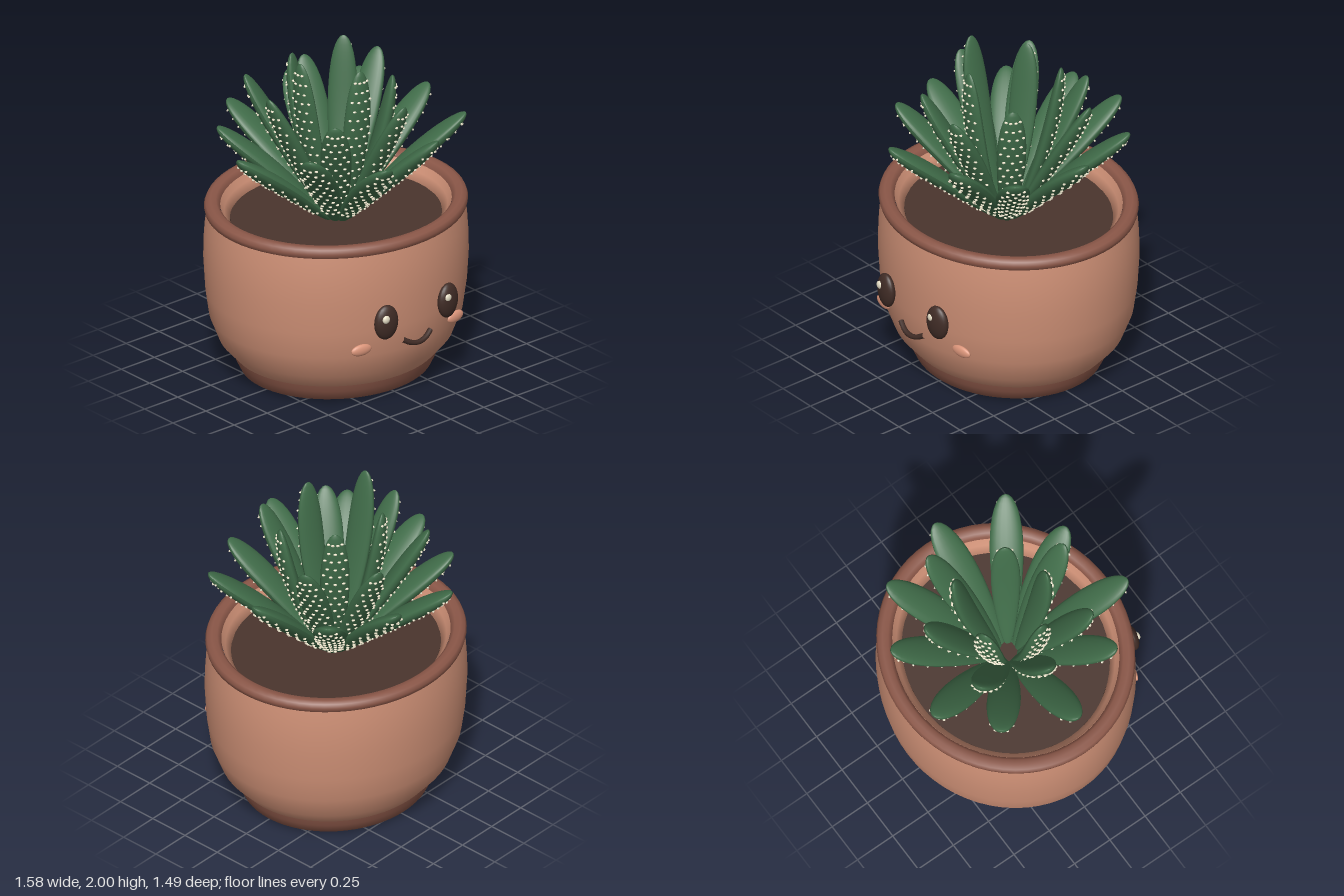
import * as THREE from 'three';
import { mergeGeometries } from 'three/addons/utils/BufferGeometryUtils.js';

const mat = (name, color) => {
  const m = new THREE.MeshStandardMaterial({ color });
  m.name = name;
  return m;
};

// Leaf rings from outside to inside; arch > 0 droops the tip, arch < 0 curls it up
const RINGS = [
  { width: 0.103, arch: 0.022, tips: [[-0.24, 1.51, -0.70], [0.21, 1.57, -0.68],
    [0.56, 1.56, -0.46], [0.70, 1.57, -0.02], [0.61, 1.56, 0.42], [0.25, 1.54, 0.59],
    [-0.22, 1.53, 0.69], [-0.54, 1.57, 0.38], [-0.73, 1.49, -0.03], [-0.54, 1.51, -0.44]] },
  { width: 0.095, arch: 0.005, tips: [[0.15, 1.75, -0.48], [0.49, 1.79, -0.22],
    [0.10, 1.76, 0.47], [-0.33, 1.72, 0.36], [-0.48, 1.80, -0.05], [-0.33, 1.78, -0.44]] },
  { width: 0.09, arch: -0.035, tips: [[0.27, 1.81, 0.17], [-0.13, 1.92, -0.26],
    [0.23, 1.94, -0.22], [-0.04, 1.95, 0.24], [-0.30, 2.00, 0.02]] },
];

// Maps a unit-sphere point onto a plump tapered leaf with a flatter upper face
function leafPoint(v, { width, arch }, length) {
  const t = (v.y + 1) / 2;
  const taper = 0.6 + 0.6 * t;
  const thick = (v.z < 0 ? 0.6 : 0.36) * width;
  return v.set(v.x * width * taper, t * length,
    v.z * thick * taper + arch * Math.sin(Math.PI * t));
}

function leafFrame(x, y, z) {
  const tip = new THREE.Vector3(x, y, z);
  const base = new THREE.Vector3(x, 0, z).setLength(0.045).setY(0.92);
  const d = tip.clone().sub(base);
  const length = d.length();
  d.normalize();
  const s = new THREE.Vector3().crossVectors(d, new THREE.Vector3(0, 1, 0)).normalize();
  const n = new THREE.Vector3().crossVectors(s, d);
  return { length, matrix: new THREE.Matrix4().makeBasis(s, d, n).setPosition(base) };
}

function leafGeometry(ring, length) {
  const g = new THREE.SphereGeometry(1, 20, 20);
  const p = g.attributes.position;
  const v = new THREE.Vector3();
  for (let i = 0; i < p.count; i++) {
    leafPoint(v.fromBufferAttribute(p, i), ring, length);
    p.setXYZ(i, v.x, v.y, v.z);
  }
  g.computeVertexNormals();
  return g;
}

// Staggered rows of small bumps over the underside of a leaf
function spotGeometries(ring, length) {
  const list = [];
  const rows = Math.round(length / 0.058);
  for (let r = 3; r < rows; r++) {
    const y = (r / rows) * 2 - 1;
    const radius = Math.sqrt(1 - y * y);
    const count = r % 2 ? 4 : 3;
    for (let k = 0; k < count; k++) {
      const a = (k - (count - 1) / 2) * 0.62;
      const v = new THREE.Vector3(Math.sin(a) * radius, y, -Math.cos(a) * radius);
      leafPoint(v, ring, length);
      list.push(new THREE.IcosahedronGeometry(1, 0).scale(0.012, 0.007, 0.009)
        .translate(v.x, v.y, v.z - 0.002));
    }
  }
  return list;
}

export function createModel() {
  const model = new THREE.Group();
  model.name = 'pottedSucculent';

  const clay = mat('clay', 0xcd8f75);
  const darkClay = mat('darkClay', 0x8b5748);
  const soilMat = mat('soil', 0x4a352d);
  const leafMat = mat('leafGreen', 0x406c49);
  const spotMat = mat('paleSpot', 0xe6dec6);
  const faceMat = mat('faceBrown', 0x402c26);
  const cheekMat = mat('cheekPink', 0xdb957a);

  const add = (parent, name, geometry, material, pos = [0, 0, 0]) => {
    const m = new THREE.Mesh(geometry, material);
    m.name = name;
    m.position.set(...pos);
    parent.add(m);
    return m;
  };
  const lathe = (pts) => new THREE.LatheGeometry(pts.map(([x, y]) => new THREE.Vector2(x, y)), 64);

  // Pot: slightly oval, made of turned profiles
  const pot = new THREE.Group();
  pot.name = 'pot';
  pot.scale.z = 0.92;
  pot.position.z = -0.018;
  model.add(pot);

  add(pot, 'potWall', lathe([[0.615, 0.12], [0.7, 0.215], [0.757, 0.36], [0.78, 0.52],
    [0.791, 0.7], [0.789, 0.82], [0.782, 0.92], [0.77, 1.0]]), clay);
  add(pot, 'potInside', lathe([[0.69, 1.03], [0.665, 0.99], [0.632, 0.945], [0.67, 0.7],
    [0.65, 0.4], [0.55, 0.16], [0.16, 0.1]]), clay);
  add(pot, 'potBase', lathe([[0.16, 0.1], [0.163, 0.06], [0.178, 0.03], [0.21, 0.014],
    [0.32, 0.008], [0.5, 0], [0.572, 0.02], [0.602, 0.08], [0.615, 0.12]]), darkClay);
  add(pot, 'potRim', lathe([[0.765, 0.996], [0.781, 1.004], [0.787, 1.03], [0.777, 1.054],
    [0.75, 1.065], [0.715, 1.06], [0.696, 1.045], [0.688, 1.015]]), darkClay);
  add(pot, 'soil', new THREE.CylinderGeometry(0.642, 0.642, 0.02, 16), soilMat, [0, 0.935, 0]);

  // Face: eyes, highlights and cheeks mirrored, with a smile between them
  const face = new THREE.Group();
  face.name = 'face';
  model.add(face);
  const ball = new THREE.SphereGeometry(1, 24, 16);
  for (const side of [-1, 1]) {
    const word = side > 0 ? 'left' : 'right';
    const eye = add(face, word + 'Eye', ball, faceMat, [side * 0.233, 0.58, 0.7]);
    eye.scale.set(0.078, 0.107, 0.04);
    eye.rotation.y = side * 0.15;
    add(face, word + 'EyeHighlight', ball, spotMat, [side * 0.233 - 0.024, 0.613, 0.729])
      .scale.set(0.025, 0.025, 0.015);
    const cheek = add(face, word + 'Cheek', ball, cheekMat, [side * 0.355, 0.412, 0.622]);
    cheek.scale.set(0.068, 0.035, 0.02);
    cheek.rotation.y = side * 0.15;
  }
  const smile = new THREE.CatmullRomCurve3([[-0.105, 0.43, 0.695], [-0.055, 0.402, 0.71],
    [0, 0.391, 0.716], [0.055, 0.402, 0.71], [0.105, 0.43, 0.695]]
    .map((p) => new THREE.Vector3(...p)));
  add(face, 'smile', new THREE.TubeGeometry(smile, 24, 0.016, 8), faceMat);

  // Rosette of leaves with spotted undersides
  const plant = new THREE.Group();
  plant.name = 'plant';
  model.add(plant);
  const spots = [];
  for (const ring of RINGS) {
    for (const tip of ring.tips) {
      const { length, matrix } = leafFrame(...tip);
      add(plant, 'leaf', leafGeometry(ring, length).applyMatrix4(matrix), leafMat);
      for (const g of spotGeometries(ring, length)) spots.push(g.applyMatrix4(matrix));
    }
  }
  add(plant, 'leafSpots', mergeGeometries(spots), spotMat);

  return model;
}
